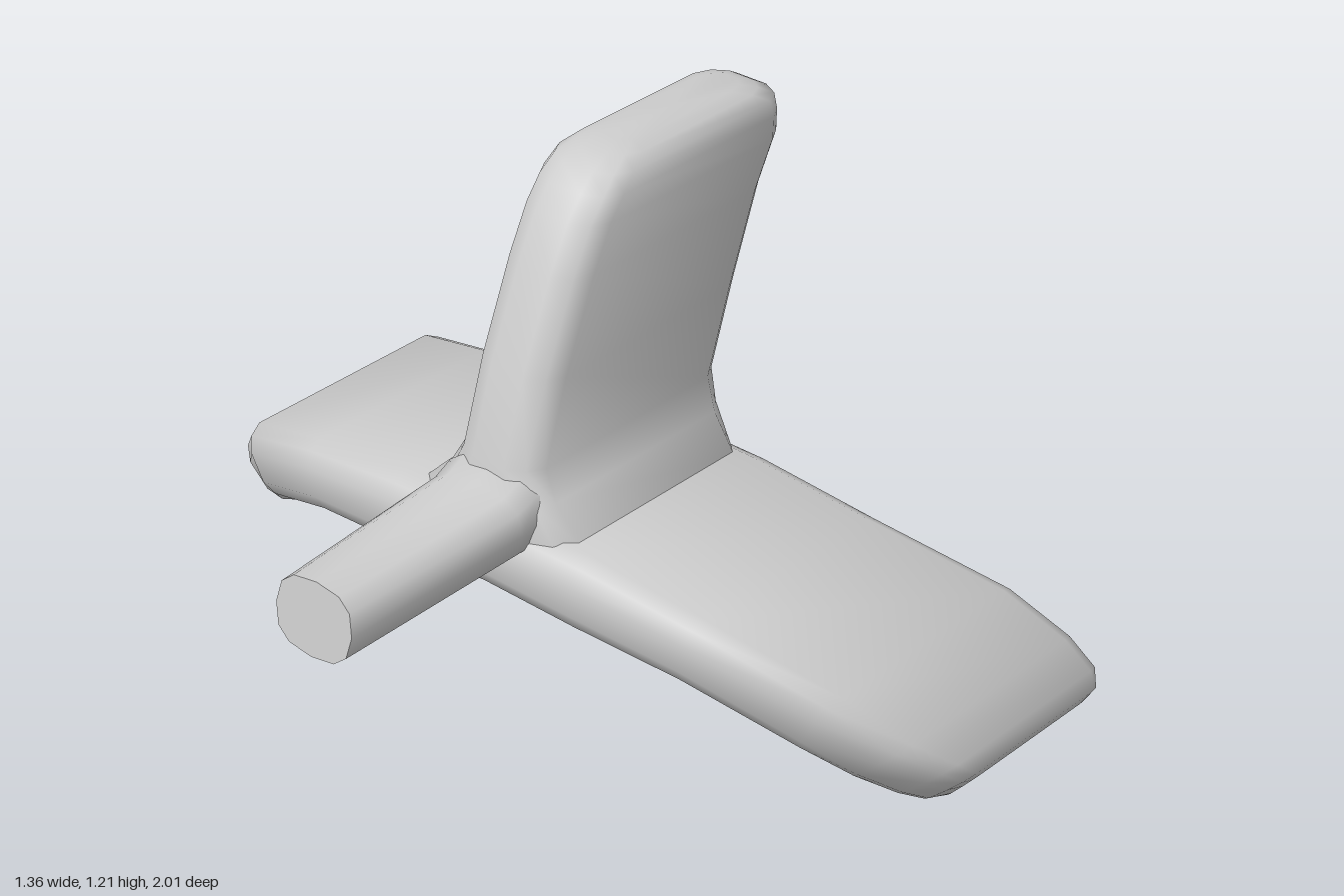
import * as THREE from 'three';
import { toCreasedNormals } from 'three/addons/utils/BufferGeometryUtils.js';

const material = new THREE.MeshStandardMaterial({ color: 0xcccccc });

// Skin a list of equal-length rings and close both ends with fans
function loft(name, rings) {
  const n = rings[0].length, last = rings.length - 1, index = [];
  const points = rings.flat();
  for (let i = 0; i < last; i++) {
    for (let j = 0; j < n; j++) {
      const a = i * n + j, b = i * n + (j + 1) % n;
      index.push(a, b, a + n, b, b + n, a + n);
    }
  }
  for (const i of [0, last]) {
    const centre = new THREE.Vector3();
    rings[i].forEach((p) => centre.addScaledVector(p, 1 / n));
    const c = points.push(centre) - 1;
    for (let j = 0; j < n; j++) {
      const a = i * n + j, b = i * n + (j + 1) % n;
      if (i === 0) index.push(c, b, a);
      else index.push(c, a, b);
    }
  }
  const geometry = new THREE.BufferGeometry().setFromPoints(points);
  geometry.setIndex(index);
  const mesh = new THREE.Mesh(toCreasedNormals(geometry, 1.1), material);
  mesh.name = name;
  return mesh;
}

// Slab section with rounded edges: [x, offset] pairs, counter-clockwise
function slab(lead, trail, h, r = h) {
  const edge = [[0.6 * r, -h], [0.22 * r, -0.8 * h], [0, -0.4 * h],
    [0, 0.4 * h], [0.22 * r, 0.8 * h], [0.6 * r, h]];
  return [
    ...edge.map(([d, v]) => [trail - d, v]),
    ...edge.map(([d, v]) => [lead + d, -v]),
  ];
}

// Drooping swept wing, mirrored across z: z, y, leading x, trailing x, half thickness
function makeWing() {
  const half = [
    [0.25, 0.39, -0.185, 0.45, 0.09],
    [0.52, 0.35, -0.15, 0.475, 0.083],
    [0.78, 0.245, -0.06, 0.585, 0.088],
    [0.87, 0.15, 0.03, 0.66, 0.09],
    [0.925, 0.09, 0.11, 0.678, 0.09],
    [0.95, 0.06, 0.16, 0.66, 0.077],
    [0.961, 0.05, 0.21, 0.615, 0.054],
  ];
  const stations = [
    ...half.map(([z, ...rest]) => [-z, ...rest]).reverse(),
    [0, 0.397, -0.185, 0.45, 0.085],
    ...half,
  ];
  return loft('wing', stations.map(([z, y, lead, trail, h], i) => {
    const p = stations[Math.max(i - 1, 0)];
    const q = stations[Math.min(i + 1, stations.length - 1)];
    const length = Math.hypot(q[0] - p[0], q[1] - p[1]);
    const tz = (q[0] - p[0]) / length, ty = (q[1] - p[1]) / length;
    return slab(lead, trail, h).map(([x, v]) => new THREE.Vector3(x, y + v * tz, z - v * ty));
  }));
}

// Upright fin flaring into the wing: y, leading x, trailing x, half thickness
function makeFin() {
  const stations = [
    [0.40, -0.17, 0.44, 0.23],
    [0.475, -0.17, 0.443, 0.215],
    [0.545, -0.165, 0.463, 0.143],
    [0.61, -0.155, 0.48, 0.108],
    [0.8, -0.095, 0.545, 0.108],
    [1.0, -0.012, 0.622, 0.108],
    [1.1, 0.04, 0.677, 0.108],
    [1.15, 0.08, 0.678, 0.108],
    [1.185, 0.118, 0.675, 0.1],
    [1.205, 0.17, 0.64, 0.08],
    [1.216, 0.22, 0.605, 0.05],
  ];
  return loft('fin', stations.map(([y, lead, trail, h]) =>
    slab(lead, trail, h, 0.1).map(([x, v]) => new THREE.Vector3(x, y, -v))));
}

// Tapered boom with a slanted end: x, centre y, half height, half width
function makeBoom() {
  const stations = [
    [-0.67, 0.473, 0.083, 0.105],
    [-0.19, 0.498, 0.079, 0.128],
    [-0.14, 0.51, 0.092, 0.132],
    [0.05, 0.5, 0.07, 0.12],
  ];
  const soften = (v) => Math.sign(v) * Math.abs(v) ** 0.75;
  return loft('boom', stations.map(([x, y, hy, hz], i) =>
    Array.from({ length: 12 }, (_, k) => {
      const a = (k / 12) * Math.PI * 2, u = soften(Math.cos(a));
      const slant = i === 0 ? 0.011 * u : 0;
      return new THREE.Vector3(x + slant, y + hy * u, hz * soften(Math.sin(a)));
    })));
}

export function createModel() {
  const group = new THREE.Group();
  group.name = 'tailAssembly';
  group.add(makeWing(), makeFin(), makeBoom());
  return group;
}
